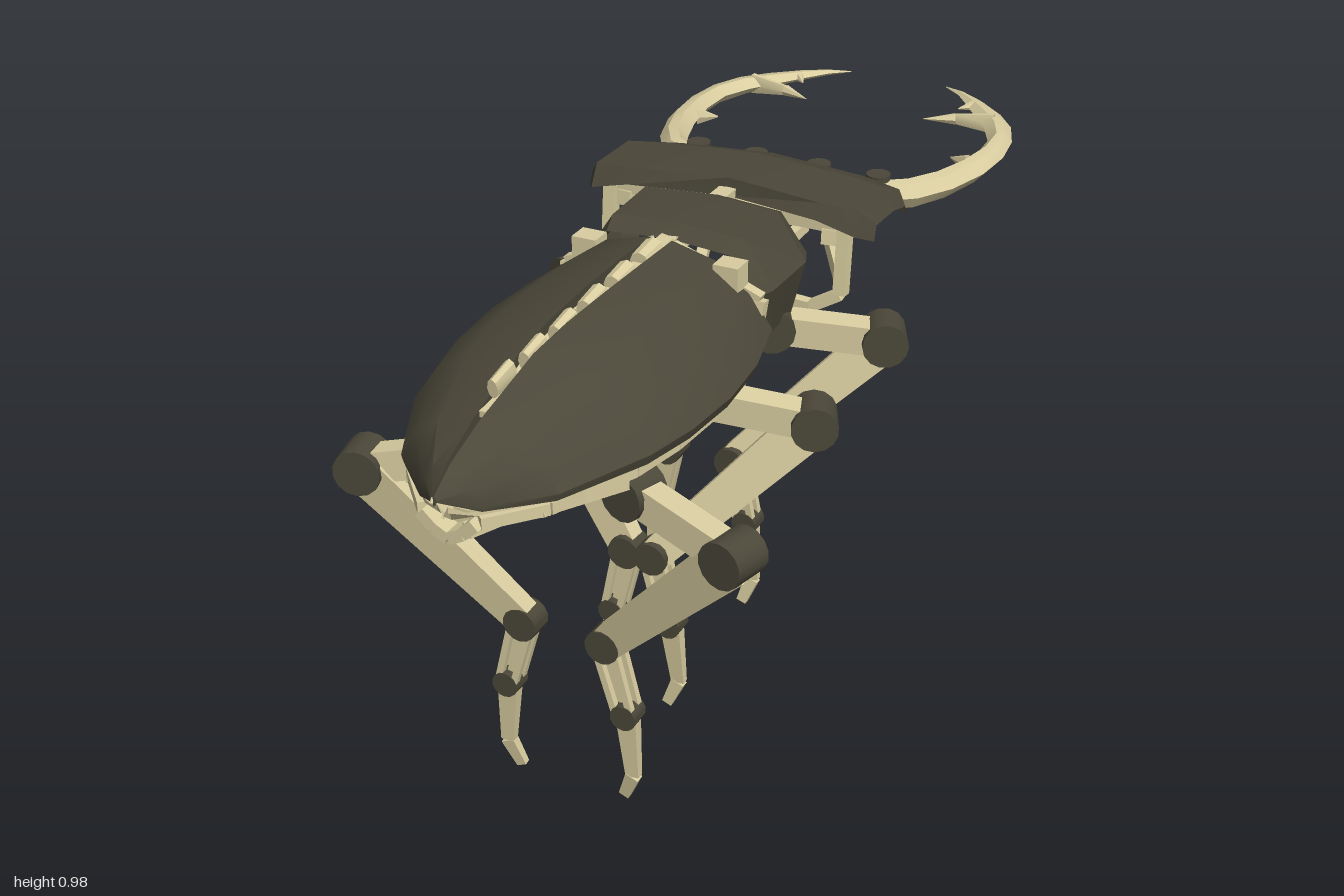
import * as THREE from 'three';
import { toCreasedNormals } from 'three/addons/utils/BufferGeometryUtils.js';

const dark = new THREE.MeshStandardMaterial({ color: 0x4b4739, side: THREE.DoubleSide });
const bone = new THREE.MeshStandardMaterial({ color: 0xd9cda0, side: THREE.DoubleSide });
const V = (p) => new THREE.Vector3(...p);
const SIDES = [['left', 1], ['right', -1]];
const flip = (p, s) => [p[0] * s, p[1], p[2]];

function add(parent, name, geo, mat) {
  const m = new THREE.Mesh(geo, mat);
  m.name = name;
  parent.add(m);
  return m;
}

// Surface through rows of points; closed rows make a tube
function loft(parent, name, rows, mat, { closed = false, crease = 0.5 } = {}) {
  const n = rows[0].length, idx = [];
  for (let r = 0; r < rows.length - 1; r++) {
    for (let c = 0; c < (closed ? n : n - 1); c++) {
      const d = (c + 1) % n, a = r * n + c, b = r * n + d, e = (r + 1) * n + c, f = (r + 1) * n + d;
      idx.push(a, b, f, a, f, e);
    }
  }
  const g = new THREE.BufferGeometry();
  g.setAttribute('position', new THREE.Float32BufferAttribute(rows.flat(2), 3));
  g.setIndex(idx);
  return add(parent, name, toCreasedNormals(g, crease), mat);
}

// Tapered bar from p to q; w is the size across, d the depth (towards z)
function beam(parent, name, p, q, w, d = w, taper = 1, sides = 4, mat = bone) {
  const a = V(p), b = V(q), dir = b.clone().sub(a), len = dir.length();
  const k = sides === 4 ? Math.SQRT1_2 : 0.5;
  let g = new THREE.CylinderGeometry(k * taper, k, len, sides);
  if (sides === 4) g.rotateY(Math.PI / 4);
  g.scale(w, 1, d);
  g = toCreasedNormals(g, 0.6);
  const y = dir.normalize();
  const ref = Math.abs(y.z) > 0.9 ? new THREE.Vector3(0, 1, 0) : new THREE.Vector3(0, 0, 1);
  const x = new THREE.Vector3().crossVectors(y, ref).normalize();
  const z = new THREE.Vector3().crossVectors(x, y);
  const m = add(parent, name, g, mat);
  m.quaternion.setFromRotationMatrix(new THREE.Matrix4().makeBasis(x, y, z));
  m.position.copy(a.add(b).multiplyScalar(0.5));
  return m;
}

// Round hinge drum whose axis runs along the given direction
function drum(parent, name, p, r, len, axis = [0, 0, 1]) {
  const h = V(axis).normalize().multiplyScalar(len / 2), c = V(p);
  return beam(parent, name, c.clone().sub(h).toArray(), c.add(h).toArray(), r * 2, r * 2, 1, 14, dark);
}

function leg(parent, name, s, points) {
  const g = new THREE.Group();
  g.name = name;
  parent.add(g);
  const [hip, elbow, knee, ankle, bend, tip] = points.map((p) => flip(p, s));
  const axis = [-(elbow[2] - hip[2]), 0, elbow[0] - hip[0]];
  beam(g, 'hipMount', [hip[0] * 0.9, 0.775, hip[2]], hip, 0.045);
  drum(g, 'hipJoint', hip, 0.045, 0.075, axis);
  beam(g, 'upperLeg', hip, elbow, 0.06, 0.05);
  drum(g, 'elbowJoint', elbow, 0.045, 0.08, axis);
  beam(g, 'lowerLeg', elbow, knee, 0.088, 0.05, 0.72);
  drum(g, 'kneeJoint', knee, 0.034, 0.05);
  for (const [dx, dz] of [[0.02, 0.014], [-0.02, 0.014], [0.02, -0.014], [-0.02, -0.014]]) {
    beam(g, 'shankRod', [knee[0] + dx, knee[1], knee[2] + dz],
      [ankle[0] + dx * 0.8, ankle[1], ankle[2] + dz], 0.013);
  }
  beam(g, 'shankCore', knee, ankle, 0.014);
  drum(g, 'ankleJoint', ankle, 0.026, 0.045);
  beam(g, 'foot', ankle, bend, 0.042, 0.024, 0.65);
  beam(g, 'footTip', bend, tip, 0.028, 0.018, 0.75);
}

// Abdomen stations: z, half width, ridge height, lower edge, half gap
const STATIONS = [
  [0.19, 0.225, 0.965, 0.81, 0.022], [0.32, 0.255, 0.97, 0.802, 0.022], [0.45, 0.265, 0.972, 0.8, 0.02],
  [0.58, 0.255, 0.97, 0.8, 0.016], [0.69, 0.23, 0.96, 0.8, 0.012], [0.86, 0.15, 0.915, 0.8, 0.006],
  [0.95, 0.06, 0.88, 0.805, 0.003], [1.0, 0.006, 0.845, 0.835, 0.001],
];

function abdomen(parent) {
  const g = new THREE.Group();
  g.name = 'abdomen';
  parent.add(g);
  for (const [side, s] of SIDES) {
    loft(g, side + 'WingCase', STATIONS.map(([z, w, t, b, gap]) => {
      const at = (k, f) => [s * Math.max(gap, w * k), b + (t - b) * f, z];
      return [[s * gap, t - 0.02, z], [s * gap, t, z], at(0.5, 0.85), at(0.8, 0.53), at(1, 0.12), at(0.97, 0)];
    }), dark, { crease: 0.6 });
    // Belly rails and ribs
    const belly = STATIONS.slice(0, 7).map(([z, w]) => [s * w * 0.86, 0.785, Math.min(z, 0.95)]);
    const inner = STATIONS.slice(0, 7).map(([z, w]) => [s * w * 0.45, 0.762, Math.min(z, 0.95)]);
    for (let i = 0; i < belly.length; i++) {
      beam(g, 'rib', belly[i], inner[i], 0.022, 0.035);
      beam(g, 'rib', inner[i], [0, 0.748, inner[i][2]], 0.022, 0.035);
      if (i < 6) {
        beam(g, 'sideRail', belly[i], belly[i + 1], 0.022);
        beam(g, 'innerRail', inner[i], inner[i + 1], 0.022);
      }
    }
    // Solid tail plate under the wing case
    loft(g, 'tailPlate', [[0.72, 0.205, 0.742], [0.86, 0.135, 0.752], [0.95, 0.05, 0.775], [0.975, 0.01, 0.795]]
      .map(([z, w, y]) => [[0, y, z], [s * w, y + 0.02, z], [s * w, 0.803, z]]), bone);
    beam(g, 'frontBrace', [s * 0.02, 0.95, 0.185], [s * 0.2, 0.88, 0.185], 0.022);
    beam(g, 'frontBrace', [s * 0.2, 0.88, 0.185], [s * 0.19, 0.78, 0.2], 0.022);
    beam(g, 'braceBlock', [s * 0.145, 0.9, 0.2], [s * 0.145, 0.95, 0.2], 0.05, 0.045);
  }
  beam(g, 'keel', [0, 0.752, 0.19], [0, 0.765, 0.92], 0.03);
  // Segmented spine in the gap between the wing cases
  beam(g, 'spine', [0, 0.945, 0.17], [0, 0.915, 0.84], 0.028, 0.03, 0.4);
  for (let i = 0; i < 6; i++) {
    const z = 0.22 + i * 0.105;
    beam(g, 'spineBead', [0, 0.958 - i * 0.001, z], [0, 0.955 - i * 0.002, z + 0.06],
      0.044 - i * 0.004, 0.044, 0.85, 8);
  }
}

function thorax(parent) {
  const g = new THREE.Group();
  g.name = 'thorax';
  parent.add(g);
  const half = [[0.165, 0.91, 0.955], [0.12, 0.98, 0.97], [-0.02, 1, 0.972], [-0.06, 0.92, 0.955]];
  loft(g, 'thoraxShell', half.map(([z, k, t]) => {
    const p = [[0.14, t - 0.01], [0.2, 0.87], [0.17, 0.755]].map(([x, y]) => [x * k, y, z]);
    return [...p.map((q) => flip(q, -1)).reverse(), [0, t, z], ...p];
  }), dark, { crease: 0.3 });
  beam(g, 'thoraxKeel', [0, 0.76, -0.08], [0, 0.76, 0.2], 0.035);
  beam(g, 'neckSpine', [0, 0.94, -0.1], [0, 0.94, 0.2], 0.035);
  for (const [, s] of SIDES) {
    for (const z of [-0.04, 0.02, 0.08, 0.14]) beam(g, 'thoraxRib', [0, 0.755, z], [s * 0.16, 0.775, z], 0.022);
    beam(g, 'thoraxRail', [s * 0.085, 0.765, -0.08], [s * 0.1, 0.765, 0.2], 0.022);
  }
}

function head(parent) {
  const g = new THREE.Group();
  g.name = 'head';
  parent.add(g);
  // Cap profiles (z, y) from the midline outward
  const caps = [
    [0, [-0.095, 0.94], [-0.1, 0.976], [-0.24, 0.975], [-0.31, 0.95], [-0.31, 0.91]],
    [0.2, [-0.06, 0.94], [-0.08, 0.968], [-0.23, 0.966], [-0.3, 0.94], [-0.3, 0.9]],
    [0.28, [-0.06, 0.92], [-0.085, 0.963], [-0.22, 0.96], [-0.29, 0.93], [-0.285, 0.89]],
    [0.305, [-0.1, 0.9], [-0.11, 0.93], [-0.2, 0.925], [-0.26, 0.91], [-0.27, 0.89]],
  ];
  const rows = caps.map(([x, ...p]) => p.map(([z, y]) => [x, y, z]));
  const mirrored = rows.slice(1).reverse().map((r) => r.map((p) => flip(p, -1)));
  loft(g, 'headPlate', [...mirrored, ...rows], dark, { crease: 0.3 });

  // Mandible stations: outer x, z, inner x, z, half height
  const jaw = [
    [0.15, -0.315, 0.17, -0.375, 0.025], [0.22, -0.335, 0.205, -0.395, 0.03], [0.285, -0.385, 0.238, -0.415, 0.03],
    [0.33, -0.46, 0.272, -0.475, 0.028], [0.36, -0.56, 0.295, -0.555, 0.025], [0.367, -0.66, 0.31, -0.65, 0.022],
    [0.355, -0.75, 0.306, -0.735, 0.02], [0.325, -0.83, 0.275, -0.8, 0.018], [0.28, -0.89, 0.235, -0.855, 0.014],
    [0.22, -0.945, 0.195, -0.912, 0.01], [0.165, -0.98, 0.155, -0.965, 0.006], [0.115, -1.0, 0.114, -0.998, 0.001],
  ];
  const y = 0.875;
  for (const [side, s] of SIDES) {
    loft(g, side + 'Mandible', jaw.map(([ox, oz, ix, iz, h]) => {
      const mix = (t, dy) => [s * (ox + (ix - ox) * t), y + dy, oz + (iz - oz) * t];
      return [mix(0, 0), mix(0.3, h * 0.85), mix(0.65, h), mix(1, 0), mix(0.65, -h), mix(0.3, -h * 0.85)];
    }), bone, { closed: true, crease: 0.7 });
    const teeth = [
      [[0.285, y, -0.835], [0.2, y, -0.825], 0.05, 0.5], [[0.2, y, -0.825], [0.137, y, -0.795], 0.025, 0.05],
      [[0.31, y, -0.6], [0.268, y, -0.615], 0.04, 0.1], [[0.21, y, -0.92], [0.185, y, -0.885], 0.025, 0.1],
    ];
    for (const [a, b, w, t] of teeth) beam(g, 'mandibleTooth', flip(a, s), flip(b, s), w, 0.024, t, 6);
    const bar = (name, a, b, w, d) => beam(g, name, flip(a, s), flip(b, s), w, d);
    // Pivots and links at the root of each mandible
    for (const x of [0.07, 0.2]) drum(g, 'mandiblePivot', [s * x, 0.885, -0.38], 0.025, 0.06, [0, 1, 0]);
    bar('pivotLink', [0.07, 0.88, -0.38], [0.12, 0.87, -0.31], 0.035);
    bar('pivotLink', [0.2, 0.875, -0.38], [0.14, 0.87, -0.31], 0.04);
    bar('jawMount', [0.13, 0.87, -0.34], [0.13, 0.87, -0.22], 0.08, 0.05);
    bar('actuator', [0.07, 0.87, -0.37], [0.1, 0.9, -0.12], 0.022);
    bar('actuator', [0.19, 0.87, -0.3], [0.22, 0.9, -0.08], 0.03);
    // Open frame under the head plate
    bar('headStrut', [0.25, 0.93, -0.09], [0.25, 0.79, -0.075], 0.025);
    bar('headStrut', [0.25, 0.79, -0.075], [0.19, 0.755, -0.07], 0.022);
    bar('headStrut', [0.19, 0.755, -0.07], [0.04, 0.765, -0.07], 0.022);
    bar('headStrut', [0.25, 0.81, -0.08], [0.16, 0.83, -0.23], 0.022);
    bar('headStrut', [0.16, 0.83, -0.23], [0.13, 0.85, -0.32], 0.03);
    bar('headStrut', [0.2, 0.92, -0.1], [0.2, 0.86, -0.26], 0.03);
    bar('headStrut', [0.05, 0.78, -0.07], [0.1, 0.84, -0.24], 0.022);
  }
  beam(g, 'headCrossbar', [-0.25, 0.92, -0.1], [0.25, 0.92, -0.1], 0.025);
  beam(g, 'headCrossbar', [-0.17, 0.86, -0.25], [0.17, 0.86, -0.25], 0.035);
}

export function createModel() {
  const model = new THREE.Group();
  model.name = 'beetle';
  abdomen(model);
  thorax(model);
  head(model);
  // Hip, elbow, knee, ankle, foot bend and foot tip of each leg
  const legs = {
    FrontLeg: [[0.14, 0.735, 0], [0.335, 0.705, -0.095], [0.072, 0.43, 0.02], [0.1, 0.295, 0.015], [0.112, 0.16, 0.015], [0.092, 0.105, 0.022]],
    MiddleLeg: [[0.1, 0.69, 0.255], [0.3, 0.64, 0.16], [0.028, 0.345, 0.285], [0.062, 0.2, 0.285], [0.074, 0.06, 0.278], [0.05, 0.004, 0.28]],
    RearLeg: [[0.155, 0.69, 0.61], [0.368, 0.64, 0.66], [0.085, 0.345, 0.59], [0.124, 0.2, 0.59], [0.133, 0.06, 0.588], [0.11, 0.004, 0.58]],
  };
  for (const [side, s] of SIDES) {
    for (const [name, points] of Object.entries(legs)) leg(model, side + name, s, points);
  }
  return model;
}
